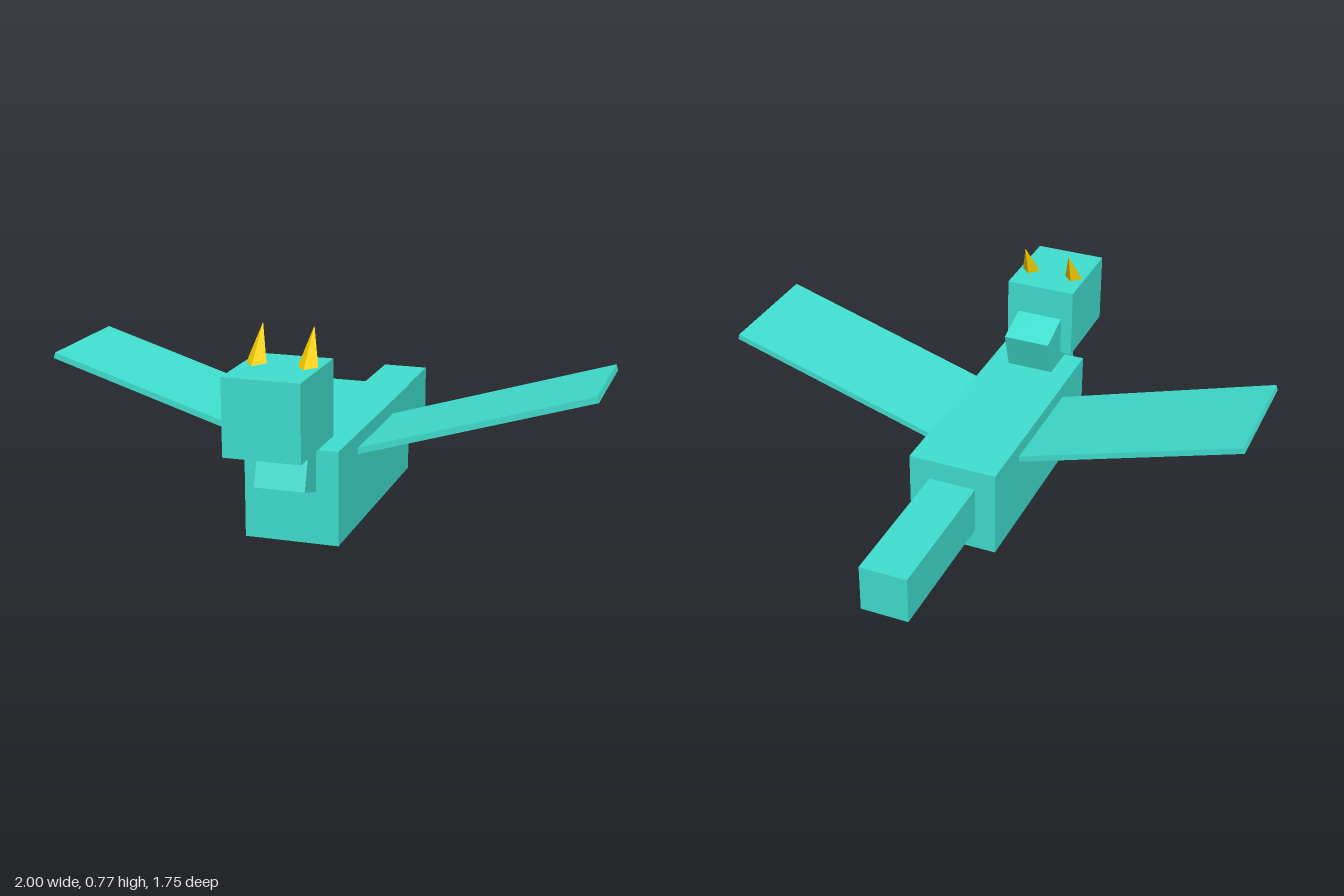
import * as THREE from 'three';

export function createModel() {
  const model = new THREE.Group();
  model.name = 'dragon';
  const skin = new THREE.MeshStandardMaterial({ color: 0x40e0d0, flatShading: true });
  const gold = new THREE.MeshStandardMaterial({ color: 0xffd700, flatShading: true });

  const add = (name, geometry, material, x, y, z) => {
    const mesh = new THREE.Mesh(geometry, material);
    mesh.name = name;
    mesh.position.set(x, y, z);
    model.add(mesh);
    return mesh;
  };
  const box = (name, w, h, d, x, y, z) =>
    add(name, new THREE.BoxGeometry(w, h, d), skin, x, y, z);

  // Body, head, backward-leaning neck and tail
  box('body', 0.3375, 0.3375, 0.9, 0, 0.16875, 0.14);
  box('head', 0.27, 0.27, 0.3375, 0, 0.511, 0.706);
  box('neck', 0.18, 0.3375, 0.225, 0, 0.3525, 0.5525).rotation.x = -0.3;
  box('tail', 0.18, 0.18, 0.5625, 0, 0.17, -0.592);

  // Raised wings and swept-back four-sided horns, mirrored
  for (const [side, s] of [['left', 1], ['right', -1]]) {
    box(side + 'Wing', 0.9, 0.0225, 0.45, s * 0.567, 0.396, 0.14).rotation.z = s * 0.3;
    add(side + 'Horn', new THREE.ConeGeometry(0.045, 0.18, 4), gold, s * 0.09, 0.691, 0.643)
      .rotation.x = -0.5;
  }
  return model;
}
